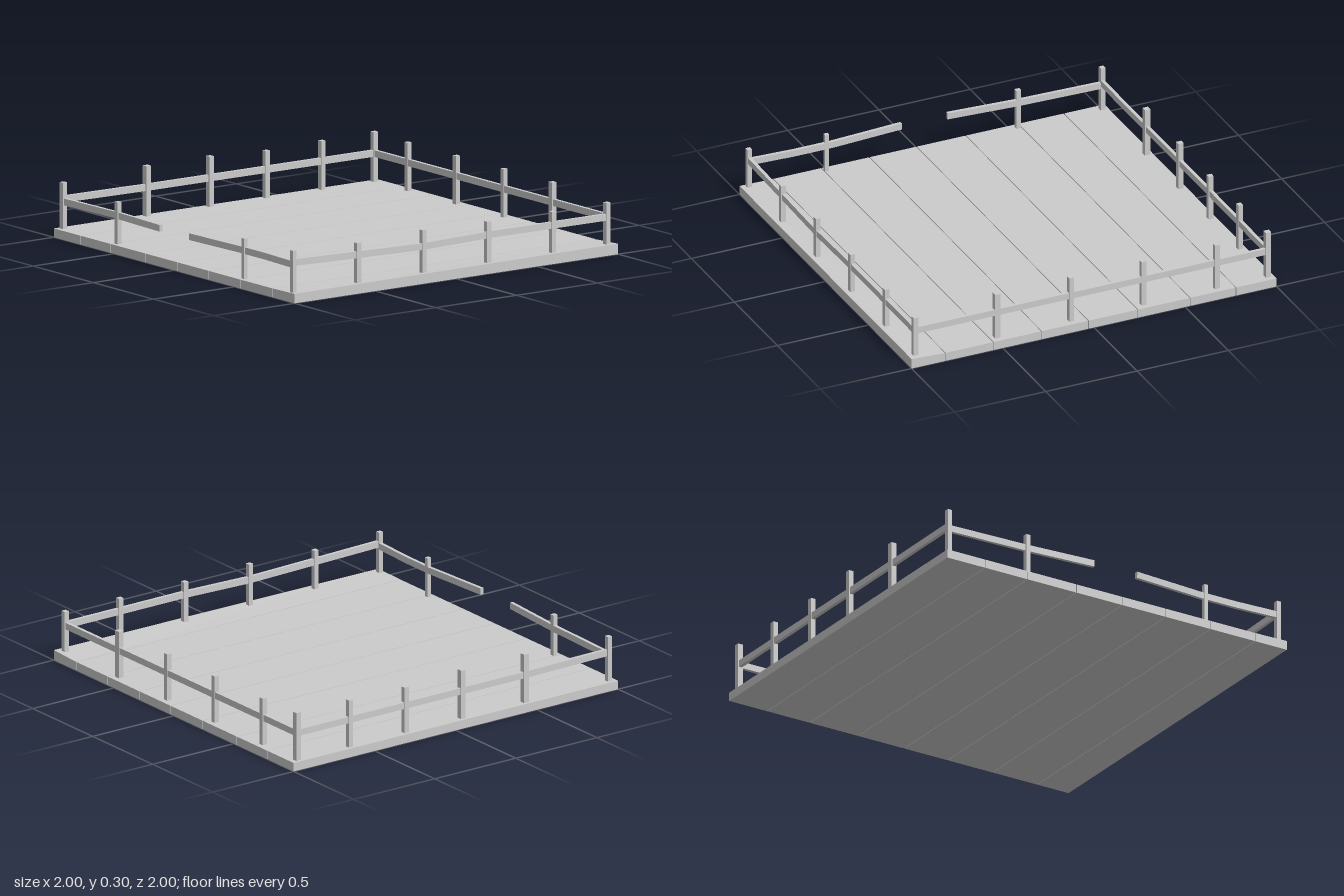
import * as THREE from 'three';

const material = new THREE.MeshStandardMaterial({ color: 0xcccccc, flatShading: true });
const DECK = 0.045;

function box(name, w, h, d, x, y, z) {
  const mesh = new THREE.Mesh(new THREE.BoxGeometry(w, h, d), material);
  mesh.name = name;
  mesh.position.set(x, y, z);
  return mesh;
}

// Straight rail board between two points
function rail(a, b) {
  const from = new THREE.Vector3(...a), to = new THREE.Vector3(...b);
  const mesh = box('rail', 0.018, 0.034, from.distanceTo(to), 0, 0, 0);
  mesh.position.copy(from).add(to).multiplyScalar(0.5);
  mesh.lookAt(to);
  return mesh;
}

export function createModel() {
  const model = new THREE.Group();
  model.name = 'fencedDeck';

  // Floor planks running from side to side, with thin gaps
  const floor = new THREE.Group();
  floor.name = 'floor';
  const seams = [-1, -0.778, -0.527, -0.24, 0.03, 0.287, 0.552, 0.815, 1];
  for (let i = 0; i < seams.length - 1; i++) {
    const z0 = seams[i] + (i ? 0.002 : 0);
    const z1 = seams[i + 1] - (i < 7 ? 0.002 : 0);
    const plank = box('plank', 2, DECK, z1 - z0, 0, DECK / 2, (z0 + z1) / 2);
    // The front plank is slightly warped up along its outer edge
    if (i === 7) {
      const p = plank.geometry.attributes.position;
      for (let k = 0; k < p.count; k++) {
        if (p.getY(k) > 0 && p.getZ(k) > 0) p.setY(k, p.getY(k) + (p.getX(k) > 0 ? 0.008 : 0.003));
      }
      plank.geometry.computeVertexNormals();
    }
    floor.add(plank);
  }
  model.add(floor);

  // Posts: x, z, top height, width
  const posts = new THREE.Group();
  posts.name = 'posts';
  const layout = [
    [-0.963, -0.97, 0.28, 0.026], [-0.447, -0.97, 0.3, 0.03], [-0.058, -0.97, 0.3, 0.028],
    [0.29, -0.97, 0.285, 0.026], [0.634, -0.97, 0.292, 0.026], [0.958, -0.97, 0.297, 0.028],
    [0.958, -0.69, 0.29, 0.026], [0.958, -0.288, 0.29, 0.026], [0.958, 0.108, 0.29, 0.026],
    [0.956, 0.513, 0.29, 0.03], [0.958, 0.962, 0.262, 0.026],
    [0.622, 0.962, 0.258, 0.026], [0.222, 0.962, 0.258, 0.026], [-0.178, 0.962, 0.265, 0.026],
    [-0.581, 0.962, 0.25, 0.026], [-0.978, 0.96, 0.26, 0.024],
    [-0.967, 0.54, 0.25, 0.022], [-0.967, -0.51, 0.258, 0.025],
  ];
  for (const [x, z, top, w] of layout) {
    const foot = 0.035;
    posts.add(box('post', w, top - foot, w, x, (top + foot) / 2, z));
  }
  model.add(posts);

  // Rails follow each side; the right side leaves an entrance open
  const runs = {
    backRail: [[-0.963, 0.195, -0.967], [-0.45, 0.19, -0.97], [0.958, 0.188, -0.97]],
    leftRail: [[0.958, 0.188, -0.97], [0.958, 0.188, 0.962]],
    frontRail: [[-0.978, 0.198, 0.96], [-0.178, 0.181, 0.962], [0.222, 0.19, 0.962], [0.958, 0.188, 0.962]],
    rightBackRail: [[-0.96, 0.182, -0.97], [-0.963, 0.188, -0.51], [-0.985, 0.19, -0.13]],
    rightFrontRail: [[-0.988, 0.19, 0.12], [-0.964, 0.188, 0.52], [-0.964, 0.188, 0.72], [-0.976, 0.188, 0.96]],
  };
  for (const [name, points] of Object.entries(runs)) {
    const run = new THREE.Group();
    run.name = name;
    for (let i = 1; i < points.length; i++) run.add(rail(points[i - 1], points[i]));
    model.add(run);
  }
  return model;
}
